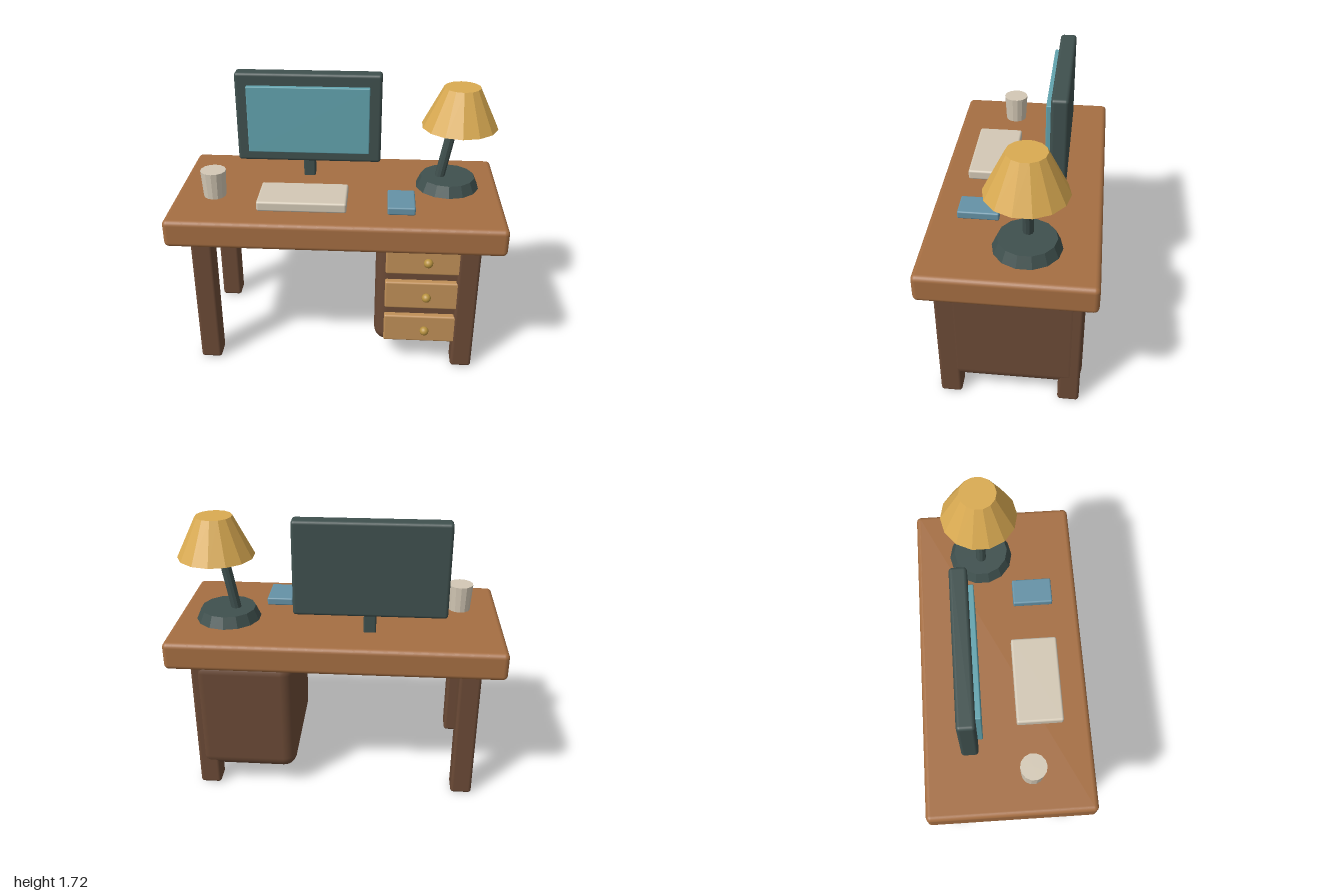
import * as THREE from 'three';
import { RoundedBoxGeometry } from 'three/addons/geometries/RoundedBoxGeometry.js';

const paint = (color, flatShading = false) => new THREE.MeshStandardMaterial({ color, flatShading });
const wood = paint(0xa56e42);
const darkWood = paint(0x6b4a36);
const drawerWood = paint(0xc09058);
const brass = paint(0xb8923f);
const dark = paint(0x3f504e);
const darkFlat = paint(0x3f504e, true);
const glass = paint(0x62a3ae);
const blue = paint(0x6592a6);
const cream = paint(0xd3c8b5);
const creamFlat = paint(0xd3c8b5, true);
const shadeYellow = paint(0xdaab52, true);

export function createModel() {
  const model = new THREE.Group();
  model.name = 'deskWithComputer';

  const add = (name, geometry, material, x, y, z, parent = model) => {
    const mesh = new THREE.Mesh(geometry, material);
    mesh.name = name;
    mesh.position.set(x, y, z);
    parent.add(mesh);
    return mesh;
  };
  // Rounded box given by its [min, max] range on each axis
  const block = (name, material, [x0, x1], [y0, y1], [z0, z1], radius, parent) =>
    add(name, new RoundedBoxGeometry(x1 - x0, y1 - y0, z1 - z0, 3, radius), material,
      (x0 + x1) / 2, (y0 + y1) / 2, (z0 + z1) / 2, parent);

  // Desk top and four legs
  block('deskTop', wood, [-1, 1], [0.863, 1.034], [-0.5, 0.5], 0.03);
  for (const sx of [1, -1]) {
    for (const sz of [1, -1]) {
      const name = (sz > 0 ? 'front' : 'back') + (sx > 0 ? 'Left' : 'Right') + 'Leg';
      add(name, new RoundedBoxGeometry(0.13, 0.88, 0.13, 3, 0.02), darkWood, sx * 0.8, 0.44, sz * 0.357);
    }
  }

  // Drawer cabinet with three drawers and round knobs
  const cabinet = new THREE.Group();
  cabinet.name = 'drawerCabinet';
  model.add(cabinet);
  block('cabinetBody', darkWood, [0.245, 0.867], [0.13, 0.88], [-0.43, 0.38], 0.08, cabinet);
  for (const y of [0.77, 0.524, 0.278]) {
    block('drawerFront', drawerWood, [0.305, 0.807], [y - 0.094, y + 0.094], [0.35, 0.417], 0.012, cabinet);
    add('drawerKnob', new THREE.SphereGeometry(0.028, 16, 12), brass, 0.556, y, 0.435, cabinet);
  }

  // Monitor
  const monitor = new THREE.Group();
  monitor.name = 'monitor';
  model.add(monitor);
  block('monitorCase', dark, [-0.657, 0.257], [1.138, 1.715], [-0.273, -0.173], 0.02, monitor);
  block('monitorScreen', glass, [-0.583, 0.183], [1.208, 1.638], [-0.18, -0.143], 0.006, monitor);
  block('monitorStand', dark, [-0.237, -0.163], [1.02, 1.16], [-0.262, -0.186], 0.01, monitor);

  // Things lying on the desk
  block('keyboard', cream, [-0.47, 0.064], [1.034, 1.098], [0.06, 0.34], 0.014);
  block('notebook', blue, [0.305, 0.47], [1.034, 1.083], [0.095, 0.34], 0.01);
  add('cup', new THREE.CylinderGeometry(0.078, 0.068, 0.17, 14), creamFlat, -0.757, 1.117, 0.132);

  // Desk lamp with a leaning pole
  const lamp = new THREE.Group();
  lamp.name = 'deskLamp';
  model.add(lamp);
  const z = -0.09;
  add('lampBase', new THREE.CylinderGeometry(0.168, 0.199, 0.07, 14), darkFlat, 0.68, 1.067, z, lamp);
  const pole = add('lampPole', new THREE.CylinderGeometry(0.031, 0.031, 0.44, 10), darkFlat, 0.663, 1.27, z, lamp);
  pole.rotation.z = -0.18;
  add('lampShade', new THREE.CylinderGeometry(0.11, 0.232, 0.245, 14), shadeYellow, 0.732, 1.558, z, lamp);

  return model;
}
